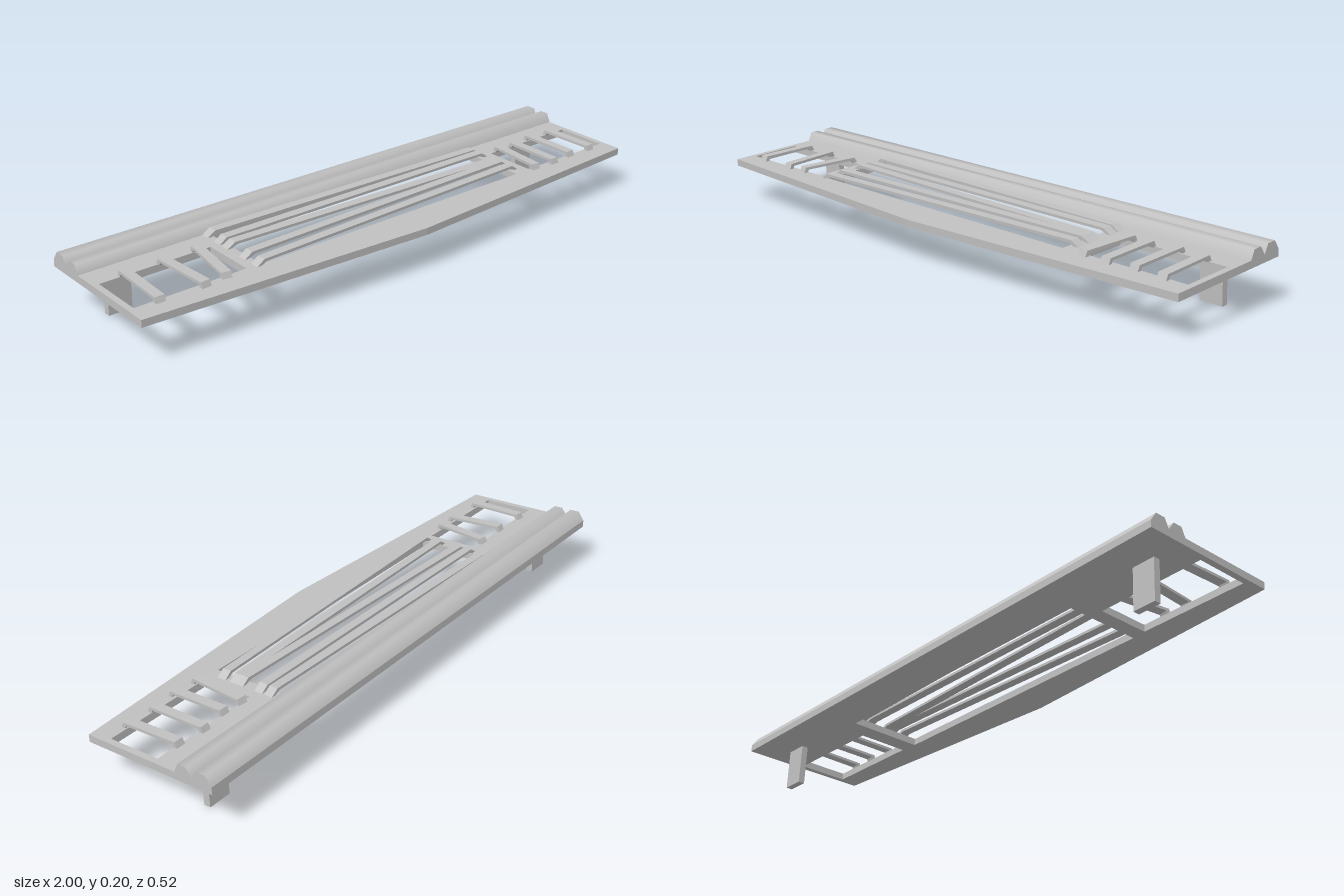
import * as THREE from 'three';
import { toCreasedNormals } from 'three/addons/utils/BufferGeometryUtils.js';

const grey = new THREE.MeshStandardMaterial({ color: 0xc0c0c0 });
grey.name = 'plain grey';

const THICK = 0.024;
const TILT = 0.0466;

const points = (list) => list.map(([x, y]) => new THREE.Vector2(x, y));
const extrude = (shape, depth) =>
  new THREE.ExtrudeGeometry(shape, { depth, bevelEnabled: false });

function addMesh(parent, name, geometry) {
  const mesh = new THREE.Mesh(geometry, grey);
  mesh.name = name;
  parent.add(mesh);
  return mesh;
}

// Rectangular opening in plan (shape y is -z)
function opening(x0, x1, z0, z1) {
  return new THREE.Path(points([[x0, -z0], [x1, -z0], [x1, -z1], [x0, -z1]]));
}

// Raised strip bridging an opening, with sloping feet at both ends
function addBar(parent, name, [x1, z1, x2, z2], width) {
  const dx = x2 - x1, dz = z2 - z1;
  const h = Math.hypot(dx, dz) / 2;
  const foot = name === 'centreBar' ? 0.03 : 0.009;
  const shape = new THREE.Shape(points([
    [-h, -0.002], [-h + 0.014, -0.002], [-h + foot + 0.01, 0.009],
    [h - foot - 0.01, 0.009], [h - 0.014, -0.002], [h, -0.002],
    [h - foot, 0.018], [-h + foot, 0.018],
  ]));
  const bar = addMesh(parent, name, extrude(shape, width).translate(0, 0, -width / 2));
  bar.position.set((x1 + x2) / 2, THICK, (z1 + z2) / 2);
  bar.rotation.y = -Math.atan2(dz, dx);
}

export function createModel() {
  const model = new THREE.Group();
  model.name = 'slattedPanel';
  const body = new THREE.Group();
  body.name = 'tiltedBody';
  body.position.y = 0.134;
  body.rotation.x = TILT;
  model.add(body);

  // Plate with a pointed front edge and three openings
  const plate = new THREE.Shape(points([
    [-1, 0.259], [-1, -0.2], [0, -0.258], [1, -0.2], [1, 0.259],
  ]));
  plate.holes.push(
    opening(-0.98, -0.6, -0.045, 0.132),
    opening(0.6, 0.98, -0.045, 0.132),
    opening(-0.55, 0.535, -0.122, 0.136),
  );
  addMesh(body, 'plate', extrude(plate, THICK).rotateX(-Math.PI / 2));

  // Two softly shaded ridges along the back
  const ridges = [
    [0.126, 0.141, 0.171, 0.191],
    [0.191, 0.206, 0.239, 0.259],
  ];
  for (const [a, b, c, d] of ridges) {
    const profile = new THREE.Shape(points([[a, 0], [d, 0], [c, 0.03], [b, 0.03]]));
    const geometry = extrude(profile, 2).rotateY(Math.PI / 2).translate(-1, THICK, 0);
    addMesh(body, 'backRidge', toCreasedNormals(geometry, 1.25));
  }

  // Long slats over the centre opening: x1, z1, x2, z2
  const centreBars = [
    [-0.575, -0.113, 0.572, -0.087],
    [-0.575, -0.053, 0.572, -0.05],
    [-0.575, -0.013, 0.572, 0.024],
    [-0.575, 0.072, 0.572, 0.045],
    [-0.575, 0.131, 0.572, 0.092],
  ];
  for (const bar of centreBars) addBar(body, 'centreBar', bar, 0.03);

  // Short slats over the side openings
  const sideBars = [
    [-0.895, -0.06, -0.905, 0.153],
    [-0.77, -0.055, -0.755, 0.158],
    [-0.645, -0.06, -0.68, 0.15],
    [0.64, -0.056, 0.62, 0.152],
    [0.71, -0.052, 0.71, 0.158],
    [0.805, -0.066, 0.805, 0.148],
    [0.9, -0.058, 0.905, 0.152],
  ];
  for (const bar of sideBars) addBar(body, 'sideBar', bar, 0.032);

  // Legs, square to the plate
  for (const side of [-1, 1]) {
    const leg = addMesh(body, side > 0 ? 'leftLeg' : 'rightLeg',
      new THREE.BoxGeometry(0.08, 0.14, 0.022));
    leg.position.set(side * 0.866, -0.0695, -0.139);
  }
  return model;
}
